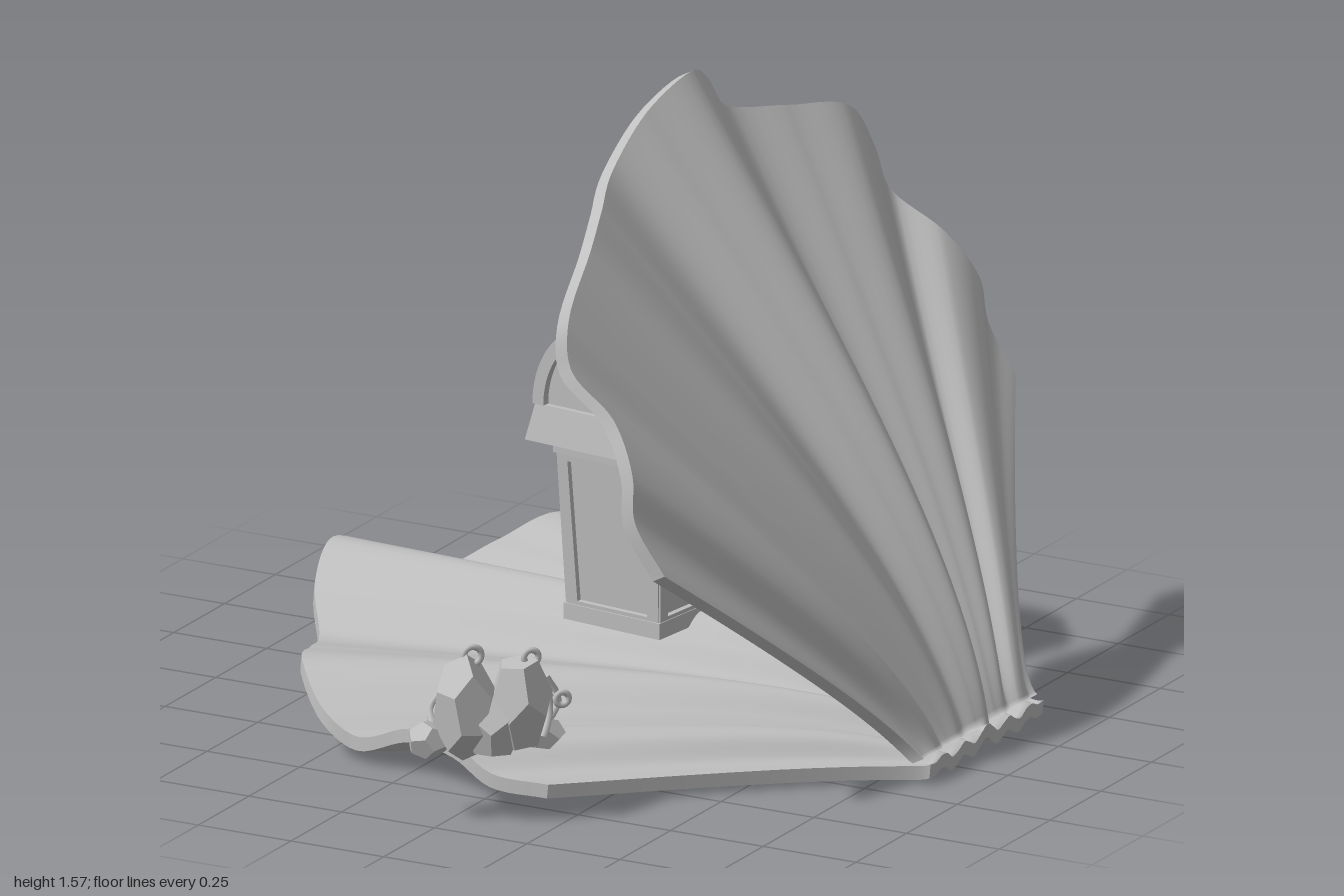
import * as THREE from 'three';
import { ParametricGeometry } from 'three/addons/geometries/ParametricGeometry.js';

const grey = new THREE.MeshStandardMaterial({ color: 0xbfbfbf });
grey.name = 'stone grey';

function add(parent, name, geometry, pos = [0, 0, 0], rot = [0, 0, 0], scale = [1, 1, 1]) {
  const mesh = new THREE.Mesh(geometry, grey);
  mesh.name = name;
  mesh.position.set(...pos);
  mesh.rotation.set(...rot);
  mesh.scale.set(...scale);
  parent.add(mesh);
  return mesh;
}

// Half of the scalloped shell rim: distance from hinge, sideways offset, height
const RIM = [
  [1.76, 0, 0], [1.72, 0.15, -0.06], [1.63, 0.28, -0.13], [1.56, 0.46, -0.09],
  [1.49, 0.64, -0.05], [1.36, 0.76, -0.11], [1.25, 0.79, -0.14], [1.1, 0.82, -0.07],
  [0.96, 0.86, -0.06], [0.85, 0.875, -0.1], [0.7, 0.87, -0.09],
];
const rimCurve = new THREE.CatmullRomCurve3([
  ...RIM.slice(1).reverse().map(([u, v, h]) => new THREE.Vector3(u, -v, h)),
  ...RIM.map(([u, v, h]) => new THREE.Vector3(u, v, h)),
]);

// Point on a fluted shell: s runs hinge to rim, t side to side, w through the thickness
function shellPoint(s, t, w, target) {
  const p = rimCurve.getPoint((t + 1) / 2);
  const base = 0.28 * t, bend = 0.34 - 0.2 * Math.abs(t), q = 1 - s;
  const u = 2 * s * q * bend + s * s * p.x;
  const v = q * q * base + 2 * s * q * base * 1.08 + s * s * p.y;
  const dome = 0.08 * Math.sin(Math.PI * s) * (1 - 0.85 * t * t);
  target.set(-u, p.z * (0.25 + 0.75 * Math.pow(s, 0.7)) + dome - 0.035 * w, v);
}

function makeShell(name, angle, length, width) {
  const g = new THREE.Group();
  g.name = name;
  const face = (part, fn, a, b) => add(g, part, new ParametricGeometry(fn, a, b));
  face('shellOuterFace', (a, b, o) => shellPoint(a, 2 * b - 1, 0, o), 30, 120);
  face('shellInnerFace', (a, b, o) => shellPoint(a, 1 - 2 * b, 1, o), 30, 120);
  face('shellRim', (a, b, o) => shellPoint(1, 2 * b - 1, a, o), 1, 120);
  face('shellHingeEdge', (a, b, o) => shellPoint(0, 1 - 2 * b, a, o), 1, 120);
  face('shellSideEdge', (a, b, o) => shellPoint(1 - b, 1, a, o), 1, 30);
  face('shellSideEdge', (a, b, o) => shellPoint(b, -1, a, o), 1, 30);
  g.position.set(0.875, 0.065, -0.13);
  g.rotation.z = angle;
  g.scale.set(length, 1, width);
  return g;
}

// Box whose bottom is narrower or wider than its top
function taperedBox(w, h, d, bottomX, bottomZ) {
  const g = new THREE.BoxGeometry(w, h, d);
  const p = g.attributes.position;
  for (let i = 0; i < p.count; i++) {
    if (p.getY(i) < 0) { p.setX(i, p.getX(i) * bottomX); p.setZ(i, p.getZ(i) * bottomZ); }
  }
  g.computeVertexNormals();
  return g;
}

function polygon(points) {
  return new THREE.Shape(points.map(([x, y]) => new THREE.Vector2(x, y)));
}

// Trapezoid frame standing on y = 0, facing +z
function frame(bottom, top, h) {
  const outer = polygon([[-bottom, 0], [bottom, 0], [top, h], [-top, h]]);
  const b = 0.03;
  outer.holes.push(polygon([[-bottom + b, b], [-top + b, h - b], [top - b, h - b], [bottom - b, b]]));
  return new THREE.ExtrudeGeometry(outer, { depth: 0.015, bevelEnabled: false });
}

// Half-ellipse slab along z, hollow when a wall is given
function arch(rx, ry, depth, wall = 0) {
  const s = new THREE.Shape();
  s.moveTo(rx, 0);
  s.absellipse(0, 0, rx, ry, 0, Math.PI, false);
  if (wall) {
    s.lineTo(-rx + wall, 0);
    s.absellipse(0, 0, rx - wall, ry - wall, Math.PI, 0, true);
  }
  s.closePath();
  const g = new THREE.ExtrudeGeometry(s, { depth, bevelEnabled: false, curveSegments: 24 });
  return g.translate(0, 0, -depth / 2);
}

function makeChest() {
  const g = new THREE.Group();
  g.name = 'treasureChest';
  add(g, 'chestBody', taperedBox(0.28, 0.42, 0.46, 0.88, 0.92), [0.01, 0.42, 0]);
  add(g, 'chestPlinth', new THREE.BoxGeometry(0.28, 0.04, 0.46), [0.01, 0.215, 0]);
  add(g, 'bodyTopBand', new THREE.BoxGeometry(0.32, 0.03, 0.49), [0.01, 0.625, 0]);
  for (const side of [-1, 1]) {
    add(g, 'endFrame', frame(0.132, 0.15, 0.41), [0.01, 0.215, side * 0.21], [side * 0.045, side < 0 ? Math.PI : 0, 0]);
    const holder = new THREE.Group();
    holder.name = 'longSideFrame';
    holder.rotation.y = side * Math.PI / 2;
    holder.position.set(0.01 + side * 0.122, 0.215, 0);
    add(holder, 'longFrame', frame(0.222, 0.24, 0.41), [0, 0, 0], [0.042, 0, 0]);
    g.add(holder);
    add(g, 'lidEndArch', arch(0.192, 0.225, 0.06, 0.032), [0, 0.73, side * 0.24]);
  }
  add(g, 'lidFlare', taperedBox(0.375, 0.09, 0.53, 1.1, 1.06), [0, 0.685, 0]);
  add(g, 'lidBarrel', arch(0.178, 0.21, 0.5), [0, 0.73, 0]);
  add(g, 'lidMiddleBand', arch(0.188, 0.22, 0.04), [0, 0.73, 0]);
  // Latches under the lid
  for (const z of [-0.17, 0, 0.17]) add(g, 'latch', new THREE.BoxGeometry(0.025, z ? 0.06 : 0.09, 0.05), [-0.2, 0.64, z]);
  // Seaweed and tiny fish on the front
  for (let i = 0; i < 7; i++) {
    const h = 0.12 + 0.12 * ((i * 5) % 7) / 7;
    add(g, 'seaweed', new THREE.ConeGeometry(0.024, h, 6), [-0.13, 0.215 + h / 2, -0.19 + i * 0.063], [0, 0, 0.06], [0.6, 1, 1]);
  }
  for (const [y, z] of [[0.5, -0.12], [0.46, 0.03], [0.52, 0.14]]) {
    add(g, 'smallFish', new THREE.OctahedronGeometry(0.03), [-0.128, y, z], [0, 0, 0], [0.4, 0.8, 1.2]);
  }
  g.position.set(-0.04, 0, -0.21);
  g.rotation.y = -0.127;
  return g;
}

// Tube that narrows towards its end
function taperedTube(points, radius, tip, segments = 24) {
  const curve = new THREE.CatmullRomCurve3(points.map((p) => new THREE.Vector3(...p)));
  const sides = 8, g = new THREE.TubeGeometry(curve, segments, radius, sides, false);
  const p = g.attributes.position, v = new THREE.Vector3();
  for (let i = 0; i < p.count; i++) {
    const k = Math.floor(i / (sides + 1)) / segments, c = curve.getPointAt(k);
    v.fromBufferAttribute(p, i).sub(c).multiplyScalar(1 + (tip - 1) * k).add(c);
    p.setXYZ(i, v.x, v.y, v.z);
  }
  g.computeVertexNormals();
  return g;
}

function makeOctopus() {
  const g = new THREE.Group();
  g.name = 'octopus';
  const head = [[0, 0.93], [0.11, 0.94], [0.105, 0.965], [0.085, 0.99], [0.095, 1.02], [0.112, 1.055],
    [0.105, 1.095], [0.07, 1.13], [0.03, 1.142], [0, 1.144]].map(([x, y]) => new THREE.Vector2(x, y));
  add(g, 'octopusHead', new THREE.LatheGeometry(new THREE.SplineCurve(head).getPoints(36), 28));
  for (const z of [-0.065, 0.065]) add(g, 'octopusEye', new THREE.SphereGeometry(0.022, 12, 10), [-0.09, 1.08, z]);
  // Arms spread over the curved lid: heading and reach
  const arms = [[-2.15, 0.34], [-2.8, 0.19], [2.6, 0.19], [1.8, 0.22], [0.95, 0.23], [0.4, 0.23], [-0.35, 0.23], [-1, 0.27]];
  arms.forEach(([heading, reach], i) => {
    const pts = [];
    for (let k = 0; k <= 6; k++) {
      const r = 0.05 + (reach - 0.05) * k / 6, a = heading + 0.14 * Math.sin(k * 1.1 + i);
      const x = Math.cos(a) * r, z = Math.sin(a) * r;
      const e = Math.min(1, Math.abs(x + 0.02) / 0.225);
      pts.push([x, 0.755 + 0.21 * Math.sqrt(1 - e * e) + 0.01 * (1 - k / 6), z]);
    }
    add(g, 'octopusArm', taperedTube(pts, 0.034, 0.45));
    add(g, 'armTip', new THREE.SphereGeometry(0.0155, 8, 6), pts[6]);
  });
  g.position.set(-0.005, 0, -0.19);
  return g;
}

function makeReef() {
  const g = new THREE.Group();
  g.name = 'rockCluster';
  // Faceted rocks: position, size, turn
  const rocks = [
    [0.03, 0.27, 0.9, 0.075, 0.125, 0.08, 0.3], [0.14, 0.28, 0.83, 0.075, 0.12, 0.075, 1.1],
    [0.09, 0.23, 0.87, 0.07, 0.085, 0.07, 2], [-0.045, 0.19, 0.945, 0.05, 0.045, 0.045, 0.6],
    [0.16, 0.19, 0.77, 0.055, 0.04, 0.06, 1.7], [0.1, 0.19, 0.73, 0.06, 0.035, 0.06, 2.6],
    [0, 0.18, 0.84, 0.07, 0.035, 0.05, 0.9],
  ];
  for (const [x, y, z, sx, sy, sz, turn] of rocks) {
    add(g, 'rock', new THREE.DodecahedronGeometry(1.06, 0).rotateZ(turn), [x, y, z], [0, turn, 0], [sx, sy, sz]);
  }
  // Curled shoots resting on the rocks
  for (const [x, y, z, r] of [[0.04, 0.395, 0.88, 0.022], [0.16, 0.39, 0.81, 0.018], [0.2, 0.27, 0.73, 0.016]]) {
    add(g, 'curledShoot', new THREE.TorusGeometry(r, 0.008, 8, 18), [x, y, z], [0, 0.8, 0]);
  }
  // Branching coral
  for (let i = 0; i < 8; i++) {
    const x = i < 3 ? -0.06 + i * 0.02 : 0.08 + i * 0.017, z = i < 3 ? 0.86 : 0.7 + (i % 4) * 0.03;
    const lean = (i % 3 - 1) * 0.025, h = 0.08 + 0.025 * (i % 3);
    add(g, 'coralBranch', taperedTube([[x, 0.2, z + 0.03], [x + lean, 0.2 + h * 0.5, z], [x + lean * 0.3, 0.2 + h, z + lean]], 0.01, 0.6, 8));
  }
  g.position.z = 0.005;
  return g;
}

export function createModel() {
  const model = new THREE.Group();
  model.name = 'shellWithTreasure';
  model.add(makeShell('lowerShell', -0.105, 1.01, 0.995));
  model.add(makeShell('upperShell', -1.078, 0.965, 0.995));
  model.add(makeChest(), makeOctopus(), makeReef());
  return model;
}
